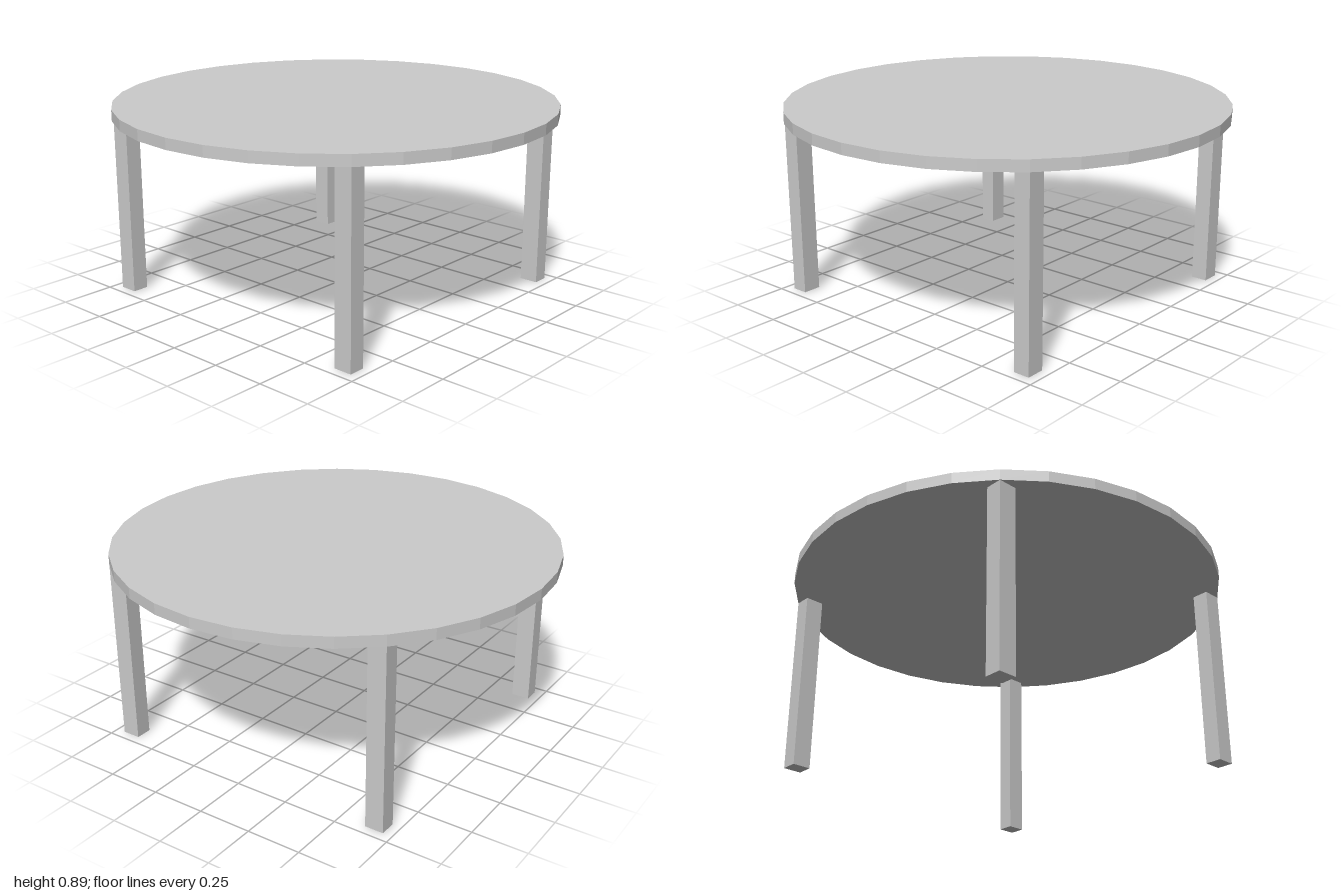
import * as THREE from 'three';

export function createModel() {
  const table = new THREE.Group();
  table.name = 'roundTable';
  const material = new THREE.MeshStandardMaterial({ color: 0xcccccc, flatShading: true });

  const height = 0.89, thickness = 0.05;
  const legHeight = height - thickness;
  const legWidth = 0.075, legDepth = 0.085;
  const legOuter = 0.707; // outer leg corners meet the rim

  // Faceted round top
  const top = new THREE.Mesh(new THREE.CylinderGeometry(1, 1, thickness, 32), material);
  top.name = 'tableTop';
  top.position.y = height - thickness / 2;
  table.add(top);

  // Four square-set legs
  const legGeometry = new THREE.BoxGeometry(legWidth, legHeight, legDepth);
  for (const [sz, end] of [[1, 'front'], [-1, 'back']]) {
    for (const [sx, side] of [[1, 'Left'], [-1, 'Right']]) {
      const leg = new THREE.Mesh(legGeometry, material);
      leg.name = `${end}${side}Leg`;
      leg.position.set(sx * (legOuter - legWidth / 2), legHeight / 2, sz * (legOuter - legDepth / 2));
      table.add(leg);
    }
  }
  return table;
}
